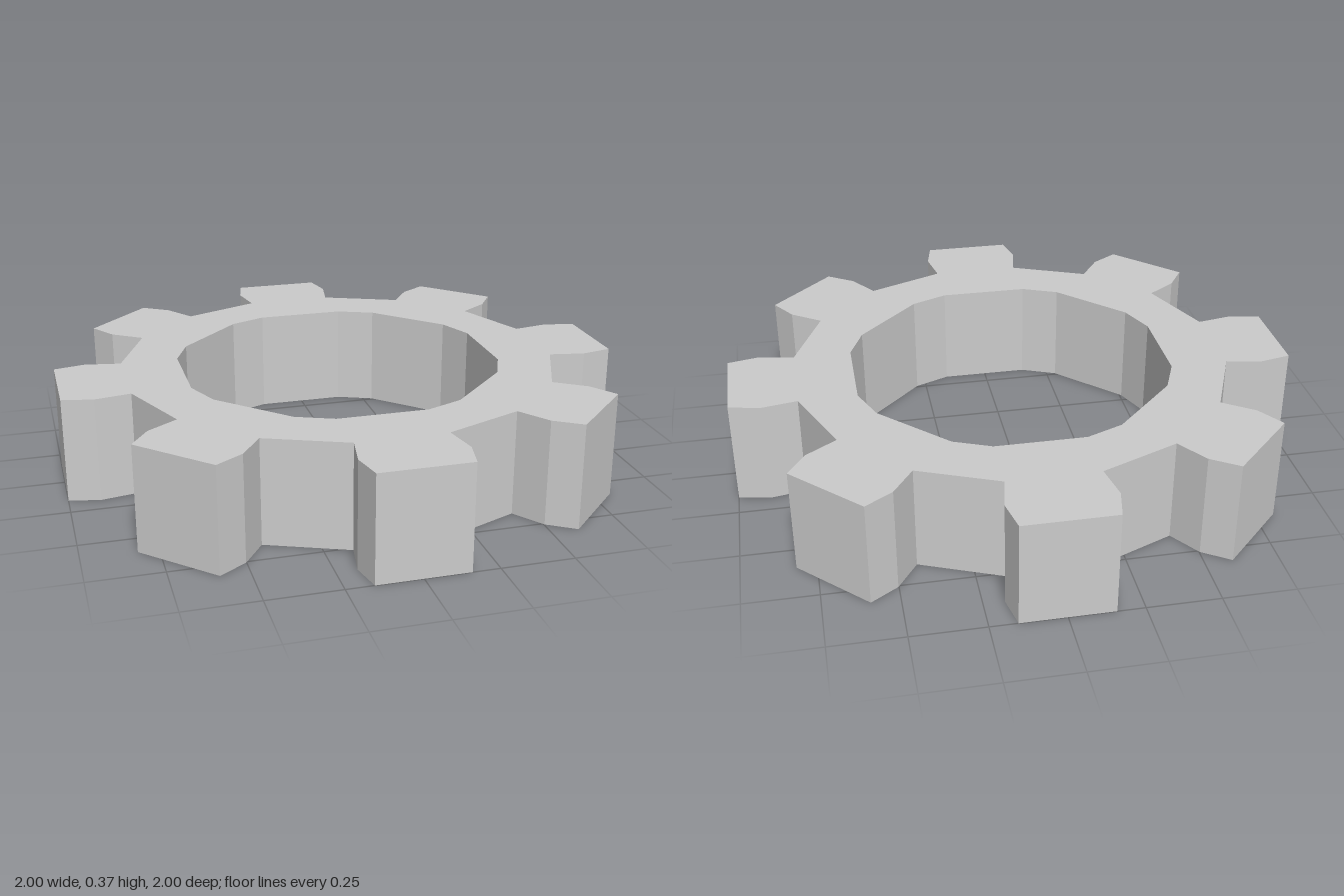
import * as THREE from 'three';

const TEETH = 8;
const HEIGHT = 0.37;

// Repeats a [radial, tangential] profile around the axis
function ringPoints(profile) {
  const points = [];
  const origin = new THREE.Vector2();
  for (let i = 0; i < TEETH; i++) {
    const angle = (i / TEETH) * Math.PI * 2;
    for (const [r, t] of profile) {
      points.push(new THREE.Vector2(r, t).rotateAround(origin, angle));
    }
  }
  return points;
}

export function createModel() {
  const group = new THREE.Group();
  group.name = 'gear';

  // Outline: root, bulging flank and flat tip of every tooth
  const outline = new THREE.Shape(ringPoints([
    [0.764, -0.157], [0.89, -0.18], [1, -0.157],
    [1, 0.157], [0.89, 0.18], [0.764, 0.157],
  ]));

  // Bore: a wide facet behind each tooth, a narrower one between
  outline.holes.push(new THREE.Path(ringPoints([[0.56, -0.157], [0.56, 0.157]])));

  const geometry = new THREE.ExtrudeGeometry(outline, { depth: HEIGHT, bevelEnabled: false });
  geometry.rotateX(-Math.PI / 2);

  const material = new THREE.MeshStandardMaterial({ color: 0xcccccc, flatShading: true });
  const gear = new THREE.Mesh(geometry, material);
  gear.name = 'toothedRing';
  group.add(gear);
  return group;
}
